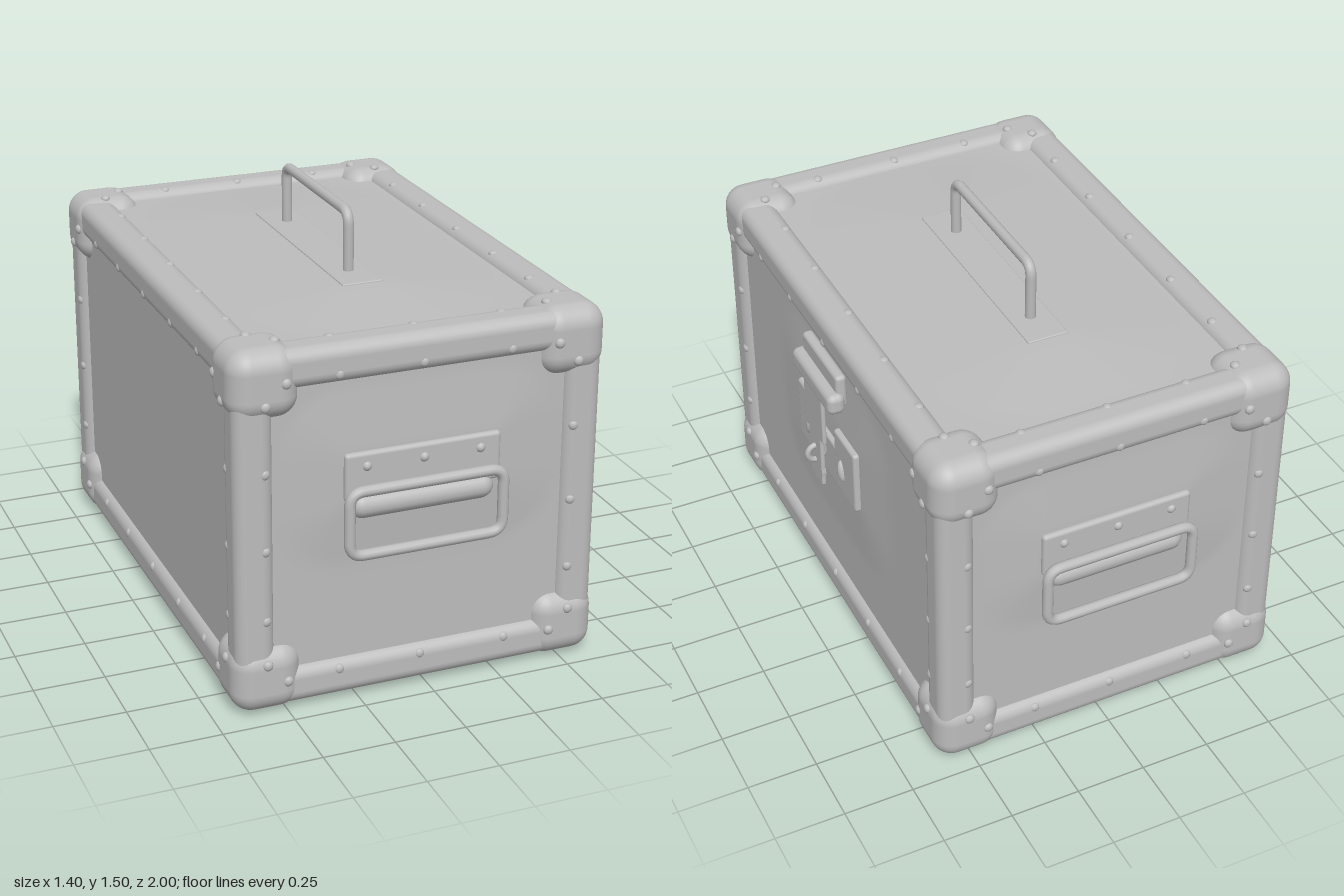
import * as THREE from 'three';
import { RoundedBoxGeometry } from 'three/addons/geometries/RoundedBoxGeometry.js';

const HALF = { x: 0.645, y: 0.625, z: 0.945 };
const CENTRE = [-0.03, 0.648, 0];
const Q = Math.PI / 2;

export function createModel() {
  const grey = new THREE.MeshStandardMaterial({ color: 0xbcbcbc });
  grey.name = 'trunkGrey';
  const model = new THREE.Group();
  model.name = 'trunk';
  const trunk = new THREE.Group();
  trunk.name = 'trunkBody';
  trunk.position.set(...CENTRE);
  model.add(trunk);

  const add = (parent, name, geometry, x = 0, y = 0, z = 0) => {
    const mesh = new THREE.Mesh(geometry, grey);
    mesh.name = name;
    mesh.position.set(x, y, z);
    parent.add(mesh);
    return mesh;
  };
  const rbox = (w, h, d, r, s = 3) => new RoundedBoxGeometry(w, h, d, s, r);

  // Edge beams: four along each axis
  const BEAM = 0.135;
  for (const axis of ['x', 'y', 'z']) {
    const [a, b] = ['x', 'y', 'z'].filter((k) => k !== axis);
    const size = { x: BEAM, y: BEAM, z: BEAM };
    size[axis] = HALF[axis] * 2 - 0.06;
    const geometry = rbox(size.x, size.y, size.z, 0.045);
    for (const i of [-1, 1]) for (const j of [-1, 1]) {
      const beam = add(trunk, 'edgeBeam', geometry);
      beam.position[a] = i * (HALF[a] - BEAM / 2);
      beam.position[b] = j * (HALF[b] - BEAM / 2);
    }
  }

  // Rounded corner caps
  const CAP = 0.24;
  const capGeometry = rbox(CAP, CAP, CAP, 0.075, 5);
  for (const i of [-1, 1]) for (const j of [-1, 1]) for (const k of [-1, 1]) {
    const inset = CAP / 2 - 0.012;
    add(trunk, 'cornerCap', capGeometry,
      i * (HALF.x - inset), j * (HALF.y - inset), k * (HALF.z - inset));
  }

  // Shallow sunken panel, optionally sloping up to a flat seat
  const panelGeometry = (hw, hh, seat) => {
    const g = new THREE.PlaneGeometry(hw * 2 - 0.1, hh * 2 - 0.1, 40, 40);
    const p = g.attributes.position;
    for (let i = 0; i < p.count; i++) {
      let z = -0.028;
      if (seat) {
        const dx = Math.max(0, Math.abs(p.getX(i) - seat.x) - seat.w);
        const dy = Math.max(0, Math.abs(p.getY(i) - seat.y) - seat.h);
        const t = Math.max(0, 1 - Math.hypot(dx, dy) / seat.spread);
        z = THREE.MathUtils.lerp(z, seat.z, t);
      }
      p.setZ(i, z);
    }
    g.computeVertexNormals();
    return g;
  };

  // One side of the trunk: its own frame has the outside along +z
  const rivetGeometry = new THREE.SphereGeometry(0.018, 10, 8);
  const makeFace = (name, u, v, n, rotX, rotY, stepsU, stepsV, seat) => {
    const face = new THREE.Group();
    face.name = name;
    face.rotation.set(rotX, rotY, 0);
    face.position.set(0, 0, HALF[n]).applyEuler(face.rotation);
    trunk.add(face);
    const hw = HALF[u], hh = HALF[v];
    add(face, name + 'Panel', panelGeometry(hw, hh, seat));
    const rivet = (x, y, z) => { add(face, 'rivet', rivetGeometry, x, y, z).scale.z = 0.7; };
    for (const s of [-1, 1]) {
      for (const x of stepsU) rivet(x, s * (hh - 0.1), -0.008);
      for (const y of stepsV) rivet(s * (hw - 0.1), y, -0.008);
      for (const t of [-1, 1]) {
        rivet(s * (hw - 0.17), t * (hh - 0.1), 0.008);
        rivet(s * (hw - 0.1), t * (hh - 0.17), 0.008);
      }
    }
    return face;
  };

  const X = [-0.29, 0, 0.31], Y = [-0.3, -0.05, 0.22], Z = [-0.58, -0.3, 0, 0.3, 0.58];
  const endSeat = { x: 0, y: 0.16, w: 0.27, h: 0.09, z: -0.01, spread: 0.22 };
  const front = makeFace('front', 'x', 'y', 'z', 0, 0, X, Y, endSeat);
  const back = makeFace('back', 'x', 'y', 'z', 0, 2 * Q, X, Y, endSeat);
  const latchSide = makeFace('latchSide', 'z', 'y', 'x', 0, Q, Z, Y,
    { x: 0, y: 0.09, w: 0.24, h: 0.12, z: -0.015, spread: 0.25 });
  makeFace('plainSide', 'z', 'y', 'x', 0, -Q, Z, Y);
  const top = makeFace('top', 'x', 'z', 'y', -Q, 0, X, Z,
    { x: 0, y: 0, w: 0.08, h: 0.43, z: -0.004, spread: 0.4 });
  makeFace('bottom', 'x', 'z', 'y', Q, 0, X, Z);

  // Rod bent along a rounded rectangle; an open one leaves out the last side
  const rod = (hw, y0, y1, r, closed) => {
    const path = new THREE.CurvePath();
    const V = (x, y) => new THREE.Vector3(x, y, 0);
    const line = (a, b) => path.add(new THREE.LineCurve3(a, b));
    const bend = (a, b, c) => path.add(new THREE.QuadraticBezierCurve3(a, b, c));
    const low = closed ? y0 + r : y0;
    line(V(-hw, low), V(-hw, y1 - r));
    bend(V(-hw, y1 - r), V(-hw, y1), V(-hw + r, y1));
    line(V(-hw + r, y1), V(hw - r, y1));
    bend(V(hw - r, y1), V(hw, y1), V(hw, y1 - r));
    line(V(hw, y1 - r), V(hw, low));
    if (closed) {
      bend(V(hw, low), V(hw, y0), V(hw - r, y0));
      line(V(hw - r, y0), V(-hw + r, y0));
      bend(V(-hw + r, y0), V(-hw, y0), V(-hw, low));
    }
    return new THREE.TubeGeometry(path, 120, 0.019, 10, closed);
  };

  // Drop handles on both ends, with mounting plate and hinge roll
  for (const end of [front, back]) {
    const handle = new THREE.Group();
    handle.name = 'endHandle';
    end.add(handle);
    add(handle, 'handleLoop', rod(0.272, -0.098, 0.128, 0.05, true), 0, 0, 0.036);
    add(handle, 'mountPlate', rbox(0.55, 0.17, 0.03, 0.014), 0, 0.163, -0.008);
    const roll = add(handle, 'hingeRoll', new THREE.CapsuleGeometry(0.045, 0.42, 6, 14), 0, 0.057, -0.018);
    roll.rotation.z = Q;
    for (const x of [-0.2, 0, 0.2]) add(handle, 'plateRivet', rivetGeometry, x, 0.2, 0);
  }

  // Carrying handle on the lid, standing on a long flat foot
  const lidHandle = add(top, 'lidHandle', rod(0.295, 0, 0.212, 0.045, false), 0, 0, -0.005);
  lidHandle.rotation.setFromRotationMatrix(new THREE.Matrix4().makeBasis(
    new THREE.Vector3(0, 1, 0), new THREE.Vector3(0, 0, 1), new THREE.Vector3(1, 0, 0)));
  add(top, 'handleFoot', rbox(0.15, 0.86, 0.014, 0.005), 0, 0, -0.006);

  // Latch: base plates, hinge bar, strap, staple ring and studs
  const latch = new THREE.Group();
  latch.name = 'latch';
  latchSide.add(latch);
  for (const s of [-1, 1]) {
    add(latch, 'latchPlate', rbox(0.18, 0.25, 0.03, 0.012), s * 0.165, 0.085, -0.01);
    const stud = add(latch, 'latchStud', rivetGeometry, s * 0.145, 0.07, 0.004);
    stud.scale.set(0.9, 2.4, 1);
    stud.rotation.z = s * 0.25;
  }
  add(latch, 'latchPlateMiddle', rbox(0.2, 0.17, 0.026, 0.01), 0, 0.045, -0.01);
  add(latch, 'hingePlate', rbox(0.31, 0.13, 0.04, 0.015), 0, 0.415, -0.005);
  add(latch, 'hingeBar', rbox(0.345, 0.08, 0.065, 0.025), 0, 0.375, 0.02);
  add(latch, 'strapTop', rbox(0.16, 0.2, 0.016, 0.006), 0, 0.25, 0.038);
  add(latch, 'strap', rbox(0.105, 0.38, 0.016, 0.006), 0, 0.14, 0.038);
  const strapEnd = add(latch, 'strapEnd', new THREE.CylinderGeometry(0.054, 0.054, 0.016, 20), 0, 0.005, 0.038);
  strapEnd.rotation.x = Q;
  const ring = add(latch, 'stapleRing', new THREE.TorusGeometry(0.031, 0.011, 8, 20), 0, 0.065, 0.044);
  ring.rotation.y = Q;

  return model;
}
